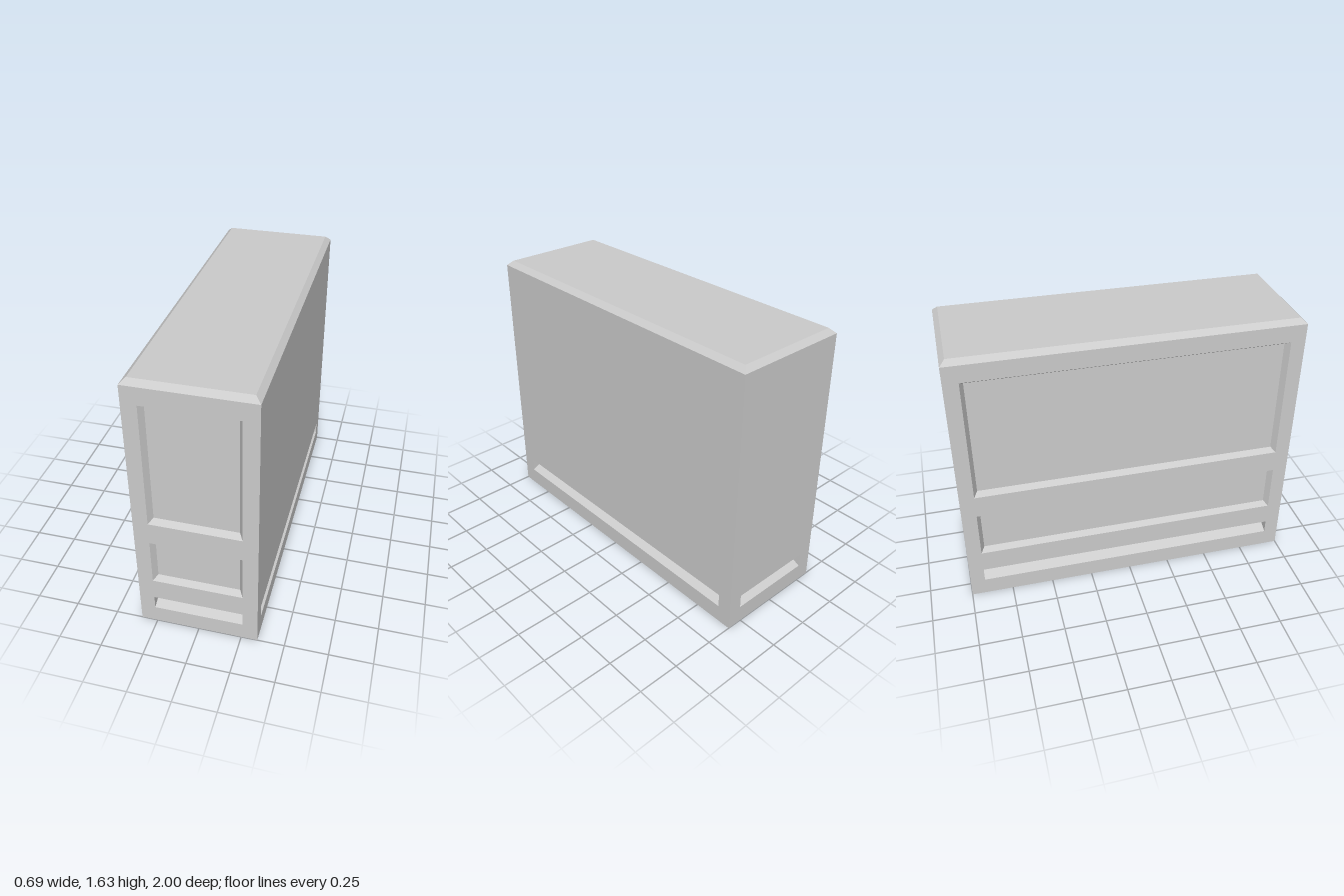
import * as THREE from 'three';

const HALF_X = 0.344, HALF_Z = 1, WALL_H = 1.603, MARGIN = 0.086;
const SLOT = { y0: 0.106, y1: 0.19, depth: 0.084 };
const PANELS = [{ name: 'upperPanel', y0: 0.746, y1: 1.5 }, { name: 'lowerPanel', y0: 0.323, y1: 0.61 }];
const material = new THREE.MeshStandardMaterial({ color: 0xcccccc, side: THREE.DoubleSide });

function mesh(name, geometry) {
  const m = new THREE.Mesh(geometry, material);
  m.name = name;
  return m;
}

// Flat-shaded surface from polygons, each split into a fan
function faces(polygons) {
  const points = [];
  for (const p of polygons)
    for (let i = 1; i < p.length - 1; i++) points.push(...p[0], ...p[i], ...p[i + 1]);
  const g = new THREE.BufferGeometry();
  g.setAttribute('position', new THREE.Float32BufferAttribute(points, 3));
  g.computeVertexNormals();
  return g;
}

// Rectangle with sloping rims: raised for positive depth, recessed for negative
function bevelledPanel(halfW, y0, y1, inset, depth) {
  const ring = (i, z) => [
    [-halfW + i, y0 + i, z], [halfW - i, y0 + i, z], [halfW - i, y1 - i, z], [-halfW + i, y1 - i, z],
  ];
  const outer = ring(0, 0), inner = ring(inset, depth);
  const rims = outer.map((p, i) => [p, outer[(i + 1) % 4], inner[(i + 1) % 4], inner[i]]);
  return faces([...rims, inner]);
}

// V-shaped groove with upright triangular ends
function groove(halfW) {
  const { y0, y1, depth } = SLOT;
  const [l, r] = [-halfW, halfW].map((x) => [[x, y0, 0], [x, (y0 + y1) / 2, -depth], [x, y1, 0]]);
  return faces([[l[0], r[0], r[1], l[1]], [l[1], r[1], r[2], l[2]], l, [r[2], r[1], r[0]]]);
}

function rectangle(PathType, halfW, y0, y1) {
  const p = new PathType();
  p.moveTo(-halfW, y0).lineTo(halfW, y0).lineTo(halfW, y1).lineTo(-halfW, y1).closePath();
  return p;
}

// Thin wall facing +z with its groove and, optionally, two recessed panels
function wall(name, halfW, panelled) {
  const group = new THREE.Group();
  group.name = name;
  const inner = halfW - MARGIN;
  const panels = panelled ? PANELS : [];
  const shape = rectangle(THREE.Shape, halfW, 0, WALL_H);
  for (const { y0, y1 } of [SLOT, ...panels]) shape.holes.push(rectangle(THREE.Path, inner, y0, y1));
  group.add(mesh('wallFace', new THREE.ShapeGeometry(shape)), mesh('baseGroove', groove(inner)));
  for (const p of panels) group.add(mesh(p.name, bevelledPanel(inner, p.y0, p.y1, 0.022, -0.035)));
  return group;
}

export function createModel() {
  const model = new THREE.Group();
  model.name = 'cabinet';

  // Four walls; the front and the right side carry panels, the base is open
  const sides = [
    ['frontWall', true], ['leftWall', false], ['backWall', false], ['rightWall', true],
  ];
  sides.forEach(([name, panelled], i) => {
    const across = i % 2 === 0;
    const w = wall(name, across ? HALF_X : HALF_Z, panelled);
    const angle = (i * Math.PI) / 2;
    const distance = across ? HALF_Z : HALF_X;
    w.rotation.y = angle;
    w.position.set(Math.sin(angle) * distance, 0, Math.cos(angle) * distance);
    model.add(w);
  });

  // Chamfered top
  const top = mesh('top', bevelledPanel(HALF_X, -HALF_Z, HALF_Z, 0.031, 0.029));
  top.rotation.x = -Math.PI / 2;
  top.position.y = WALL_H;
  model.add(top);

  return model;
}
